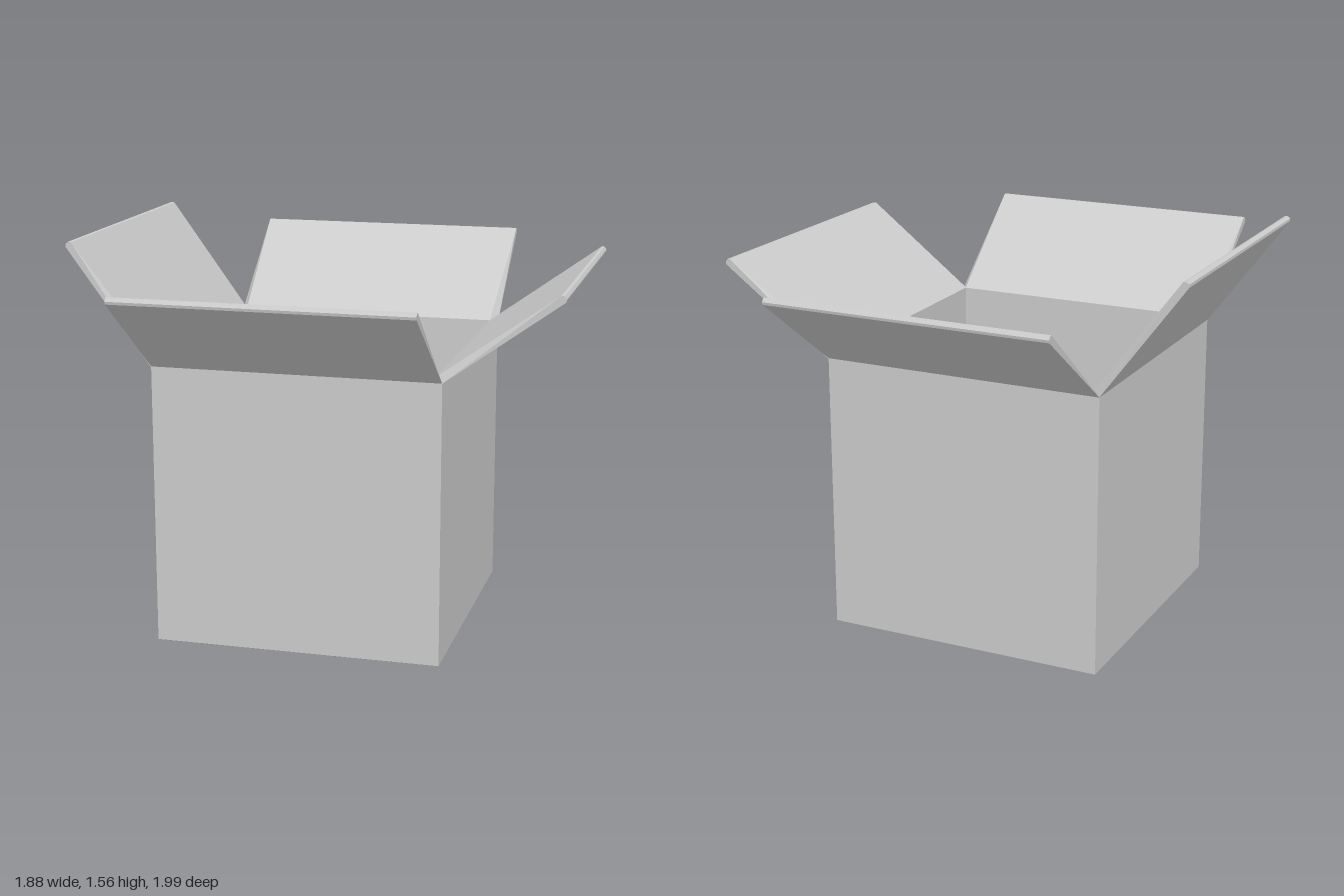
import * as THREE from 'three';

const X0 = -0.615, X1 = 0.495, Z = 0.56; // outer footprint
const RIM = 1.1, T = 0.028, CX = (X0 + X1) / 2, W = X1 - X0;

const material = new THREE.MeshStandardMaterial({ color: 0xcccccc, flatShading: true });

function add(group, geometry, name) {
  const mesh = new THREE.Mesh(geometry, material);
  mesh.name = name;
  group.add(mesh);
  return mesh;
}

// Tilted board hinged at the rim: profile in x/y, extruded along the wall and mitred at the hinge
function flapGeometry(reach, rise, length) {
  const d = new THREE.Vector2(reach, rise).normalize();
  const n = new THREE.Vector2(-d.y, d.x);
  const tip = (along, across) => new THREE.Vector2(reach, rise).addScaledVector(d, along).addScaledVector(n, across);
  const profile = [
    new THREE.Vector2(0, 0),
    tip(-0.008, 0), tip(0, 0.007), tip(0, 0.022), tip(-0.008, 0.029),
    new THREE.Vector2(-T, 0.018), new THREE.Vector2(-T, 0),
  ];
  const geo = new THREE.ExtrudeGeometry(new THREE.Shape(profile), { depth: length, bevelEnabled: false });
  geo.translate(0, 0, -length / 2);
  const p = geo.attributes.position;
  for (let i = 0; i < p.count; i++) {
    if (p.getX(i) < -T / 2) p.setZ(i, p.getZ(i) - Math.sign(p.getZ(i)) * T);
  }
  geo.computeVertexNormals();
  return geo;
}

export function createModel() {
  const model = new THREE.Group();
  model.name = 'openCarton';

  // Four walls as one hollow frame
  const rect = (Ctor, inset) => {
    const a = X0 + inset, b = X1 - inset, c = Z - inset;
    return new Ctor([[a, -c], [b, -c], [b, c], [a, c]].map(([x, y]) => new THREE.Vector2(x, y)));
  };
  const frame = rect(THREE.Shape, 0);
  frame.holes.push(rect(THREE.Path, T));
  const walls = new THREE.ExtrudeGeometry(frame, { depth: RIM - 0.015, bevelEnabled: false });
  walls.rotateX(-Math.PI / 2).translate(0, 0.015, 0);
  add(model, walls, 'walls');

  // Base with a chamfered lower edge
  const base = new THREE.BoxGeometry(W, 0.015, 2 * Z);
  const p = base.attributes.position;
  for (let i = 0; i < p.count; i++) {
    if (p.getY(i) > 0) continue;
    p.setX(i, p.getX(i) - Math.sign(p.getX(i)) * 0.035);
    p.setZ(i, p.getZ(i) - Math.sign(p.getZ(i)) * 0.035);
  }
  base.computeVertexNormals();
  add(model, base, 'base').position.set(CX, 0.0075, 0);

  // Inner floor
  add(model, new THREE.BoxGeometry(W - 2 * T, 0.015, 2 * (Z - T)), 'floor').position.set(CX, 0.0225, 0);

  // Flaps: name, hinge x, hinge z, turn, reach, rise, length
  const flaps = [
    ['leftFlap', X1, 0, 0, 0.445, 0.322, 2 * Z + 0.008],
    ['rightFlap', X0, 0, Math.PI, 0.33, 0.445, 2 * Z + 0.008],
    ['frontFlap', CX, Z, -Math.PI / 2, 0.44, 0.32, W],
    ['backFlap', CX, -Z, Math.PI / 2, 0.44, 0.32, W],
  ];
  for (const [name, x, z, turn, reach, rise, length] of flaps) {
    const flap = add(model, flapGeometry(reach, rise, length), name);
    flap.position.set(x, RIM, z);
    flap.rotation.y = turn;
  }
  return model;
}
